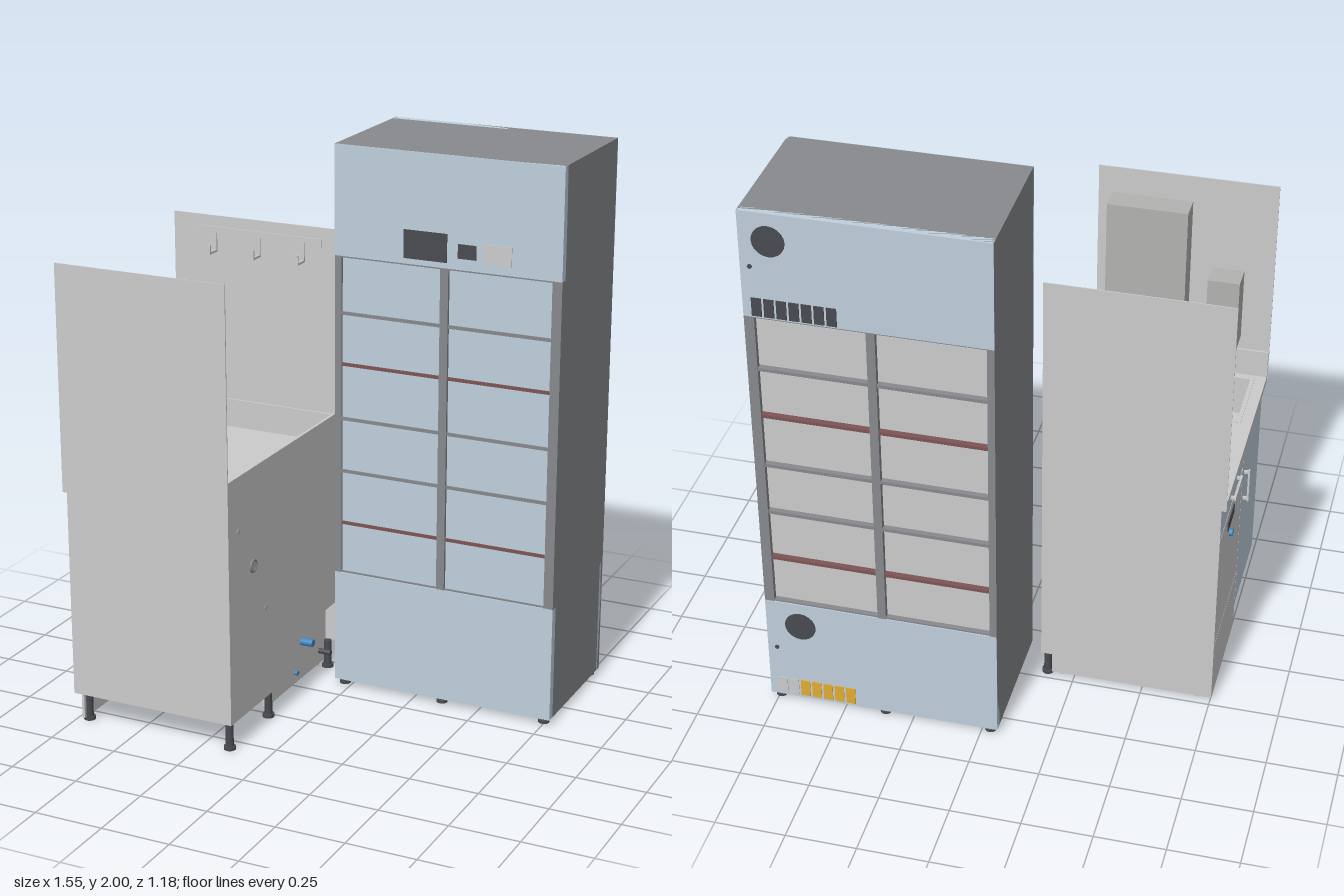
import * as THREE from 'three';

const mat = (color, extra = {}) => new THREE.MeshStandardMaterial({ color, ...extra });
const GREY = mat(0xcccccc), BLUE = mat(0xbfcfdc), STEEL = mat(0x87898d), DARK = mat(0x484b50);
const BOXGREY = mat(0xb2b2b0), YELLOW = mat(0xe0ad30), VALVE = mat(0x3f87c4), RED = mat(0x7d5555);

export function createModel() {
  const model = new THREE.Group();

  const add = (parent, name, geometry, material) => {
    const mesh = new THREE.Mesh(geometry, material);
    mesh.name = name;
    parent.add(mesh);
    return mesh;
  };
  // box given by its extents on each axis
  const box = (parent, name, x0, x1, y0, y1, z0, z1, material = GREY) => {
    const mesh = add(parent, name, new THREE.BoxGeometry(x1 - x0, y1 - y0, z1 - z0), material);
    mesh.position.set((x0 + x1) / 2, (y0 + y1) / 2, (z0 + z1) / 2);
    return mesh;
  };
  // cylinder centred on a point, lying along the chosen axis
  const rod = (parent, name, x, y, z, r, len, axis = 'y', material = GREY) => {
    const mesh = add(parent, name, new THREE.CylinderGeometry(r, r, len, 20), material);
    mesh.position.set(x, y, z);
    if (axis === 'x') mesh.rotation.z = Math.PI / 2;
    if (axis === 'z') mesh.rotation.x = Math.PI / 2;
    return mesh;
  };
  const group = (name) => {
    const g = new THREE.Group();
    g.name = name;
    model.add(g);
    return g;
  };
  const rectPath = (x0, x1, y0, y1, Type = THREE.Path) => new Type(
    [[x0, y0], [x1, y0], [x1, y1], [x0, y1]].map(([x, y]) => new THREE.Vector2(x, y)));

  // ---------- tall pass-through cabinet ----------
  const cab = group('passThroughCabinet');
  const X0 = -0.06, X1 = 0.775, ZB = -0.59, ZF = -0.085;
  const rows = [0.44, 0.63, 0.825, 1.02, 1.22, 1.405, 1.61];
  const cols = [[-0.035, 0.335], [0.365, 0.74]];

  box(cab, 'cabinetCore', X0 + 0.01, X1 - 0.01, 0.03, 1.99, ZB + 0.03, ZF - 0.02, STEEL);
  box(cab, 'cabinetSideRight', X0, X0 + 0.012, 0.02, 2, ZB + 0.002, ZF - 0.002, STEEL);
  box(cab, 'cabinetSideLeft', X1 - 0.012, X1, 0.02, 2, ZB + 0.002, ZF - 0.002, STEEL);
  box(cab, 'cabinetTop', X0 + 0.012, X1 - 0.012, 1.985, 2, ZB + 0.002, ZF - 0.002, STEEL);
  box(cab, 'cabinetBottom', X0 + 0.012, X1 - 0.012, 0.02, 0.035, ZB + 0.002, ZF - 0.002, DARK);

  // fascias, posts and compartments on the front and back
  for (const [side, z, s] of [['front', ZF, 1], ['back', ZB, -1]]) {
    const slab = (name, x0, x1, y0, y1, inset, depth, m) => {
      const a = z - s * inset, b = a - s * depth;
      return box(cab, side + name, x0, x1, y0, y1, Math.min(a, b), Math.max(a, b), m);
    };
    slab('UpperFascia', X0, X1, 1.61, 2, 0, 0.03, BLUE);
    slab('LowerFascia', X0, X1, 0.02, 0.44, 0, 0.03, BLUE);
    for (const [a, b] of [[X0, -0.035], [0.335, 0.365], [0.74, X1]])
      slab('Post', a, b, 0.44, 1.61, 0.001, 0.03, STEEL);
    for (const [a, b] of cols) {
      for (let i = 0; i < 6; i++) {
        const gap = s > 0 ? 0.003 : 0.014;
        slab('Door', a + 0.002, b - 0.002, rows[i] + gap, rows[i + 1] - gap, s > 0 ? 0.008 : 0.014, 0.02, s > 0 ? BLUE : GREY);
      }
      rows.forEach((y, i) => slab('Shelf', a, b, y - 0.006, y + 0.006, 0.004, 0.03, i === 1 || i === 4 ? RED : STEEL));
    }
  }

  // front display, reader and card panel
  box(cab, 'displayScreen', 0.2, 0.36, 1.63, 1.73, ZF, ZF + 0.003, DARK);
  box(cab, 'codeReader', 0.4, 0.467, 1.65, 1.7, ZF, ZF + 0.003, DARK);
  box(cab, 'cardPanel', 0.495, 0.595, 1.64, 1.71, ZF, ZF + 0.003, GREY);

  // back fans, bolts and connector rows
  for (const [x, yFan, yBolt, ySlot, upper] of [[0.675, 1.9, 1.8, 1.65, true], [0.65, 0.345, 0.235, 0.065, false]]) {
    rod(cab, 'fanGrille', x, yFan, ZB, 0.056, 0.006, 'z', DARK);
    rod(cab, 'bolt', 0.742, yBolt, ZB, 0.008, 0.006, 'z', DARK);
    for (let i = 0; i < 7; i++) {
      const sx = 0.728 - i * 0.042;
      const m = upper ? DARK : i < 2 ? GREY : YELLOW;
      box(cab, 'connectorSlot', sx - 0.017, sx + 0.017, ySlot - 0.034, ySlot + 0.034, ZB - 0.003, ZB, m);
    }
  }

  // feet and fittings underneath
  for (const x of [-0.03, 0.355, 0.745])
    for (const z of [-0.11, -0.565]) {
      rod(cab, 'cabinetFoot', x, 0.005, z, 0.02, 0.01, 'y', DARK);
      rod(cab, 'cabinetFootStem', x, 0.014, z, 0.009, 0.014, 'y', DARK);
    }
  rod(cab, 'drainFitting', 0.18, 0.014, -0.22, 0.02, 0.014, 'y', DARK);
  rod(cab, 'drainFitting', 0.3, 0.014, -0.4, 0.016, 0.014, 'y', GREY);

  // ---------- sink unit, its doors facing the model's right ----------
  const unit = group('sinkUnit');
  const K0 = -0.755, K1 = -0.13, KB = -0.235, KF = 0.585, T = 0.004;

  // end walls: wide above the counter, narrower below
  for (const [name, z0, low] of [['frontWall', KF - T, 0.1], ['backWall', KB, 0.1]]) {
    box(unit, name + 'Upper', -0.772, K1, 0.85, 1.66, z0, z0 + T);
    box(unit, name + 'Lower', K0, K1, low, 0.85, z0, z0 + T);
  }
  box(unit, 'frontSplash', -0.77, K1, 0.875, 0.98, KF - 0.012, KF - T);
  box(unit, 'backSplash', -0.77, K1, 0.875, 0.98, KB + T, KB + 0.012);

  // long side panel with a service cut-out in one lower corner
  const side = new THREE.Shape([[-KF, 0.1], [-0.105, 0.1], [-0.105, 0.25], [-KB, 0.25], [-KB, 0.98], [-KF, 0.98]]
    .map(([x, y]) => new THREE.Vector2(x, y)));
  const sideMesh = add(unit, 'sidePanel', new THREE.ExtrudeGeometry(side, { depth: 0.01, bevelEnabled: false }), GREY);
  sideMesh.rotation.y = Math.PI / 2;
  sideMesh.position.x = K1 - 0.01;
  box(unit, 'cabinetFloor', K0 + 0.01, K1, 0.1, 0.11, 0.22, KF);
  box(unit, 'partition', K0 + 0.01, K1 - 0.01, 0.11, 0.85, 0.205, 0.215);
  box(unit, 'plinth', -0.725, -0.715, 0.01, 0.1, 0.25, KF);

  // counter with a sink opening
  const counter = rectPath(-0.77, K1, -KF, -KB, THREE.Shape);
  counter.holes.push(rectPath(-0.715, -0.445, -0.54, -0.27));
  const top = add(unit, 'counter', new THREE.ExtrudeGeometry(counter, { depth: 0.025, bevelEnabled: false }), GREY);
  top.rotation.x = -Math.PI / 2;
  top.position.y = 0.85;
  const rimShape = rectPath(-0.73, -0.435, -0.555, -0.26, THREE.Shape);
  rimShape.holes.push(rectPath(-0.715, -0.445, -0.54, -0.27));
  const rim = add(unit, 'sinkRim', new THREE.ExtrudeGeometry(rimShape, { depth: 0.003, bevelEnabled: false }), GREY);
  rim.rotation.x = -Math.PI / 2;
  rim.position.y = 0.875;
  box(unit, 'basinFloor', -0.72, -0.44, 0.72, 0.725, 0.265, 0.545);
  for (const x of [-0.72, -0.445]) box(unit, 'basinWall', x, x + 0.005, 0.725, 0.86, 0.265, 0.545);
  for (const z of [0.265, 0.54]) box(unit, 'basinWall', -0.715, -0.445, 0.725, 0.86, z, z + 0.005);
  rod(unit, 'drain', -0.58, 0.727, 0.41, 0.025, 0.006, 'y', BOXGREY);

  // tap
  rod(unit, 'tapBody', -0.385, 0.93, 0.408, 0.018, 0.11);
  box(unit, 'tapSpout', -0.48, -0.385, 0.945, 0.96, 0.398, 0.418);
  box(unit, 'tapLever', -0.43, -0.38, 0.98, 0.987, 0.4, 0.416);

  // drawer, dishwasher and door
  box(unit, 'drawer', K0, K0 + 0.02, 0.725, 0.848, KB + T, 0.208, BLUE);
  box(unit, 'drawerBody', K0 + 0.02, -0.2, 0.74, 0.84, KB + T, 0.2);
  box(unit, 'dishwasherBody', K0 + 0.02, -0.17, 0.02, 0.72, KB + T, 0.208);
  box(unit, 'dishwasherDoor', K0, K0 + 0.02, 0.26, 0.718, KB, 0.208);
  box(unit, 'dishwasherLowerPanel', K0, K0 + 0.02, 0.02, 0.256, KB, 0.208);
  box(unit, 'dishwasherEnd', K0, -0.17, 0.02, 0.25, KB, KB + T);
  box(unit, 'dishwasherControl', K0 - 0.004, K0, 0.65, 0.685, -0.08, 0.04, DARK);
  rod(unit, 'dishwasherKnob', K0 - 0.006, 0.605, -0.02, 0.014, 0.012, 'x', VALVE);
  box(unit, 'door', K0, K0 + 0.02, 0.1, 0.848, 0.212, KF - T, BLUE);

  // bar handles
  box(unit, 'drawerHandle', -0.777, -0.77, 0.778, 0.79, -0.07, 0.07);
  for (const z of [-0.065, 0.055]) box(unit, 'drawerHandlePost', -0.772, K0, 0.779, 0.789, z, z + 0.01);
  box(unit, 'doorHandle', -0.777, -0.77, 0.55, 0.685, 0.245, 0.257);
  for (const y of [0.555, 0.67]) box(unit, 'doorHandlePost', -0.772, K0, y, y + 0.01, 0.246, 0.256);

  // legs
  for (const [x, z] of [[-0.15, 0.56], [-0.15, 0.27], [-0.71, 0.56], [-0.71, 0.27], [-0.15, -0.21]]) {
    rod(unit, 'leg', x, 0.055, z, 0.014, 0.1, 'y', DARK);
    rod(unit, 'legFoot', x, 0.006, z, 0.021, 0.012, 'y', DARK);
  }
  for (const x of [-0.2, -0.7])
    for (const z of [-0.2, 0.19]) rod(unit, 'dishwasherFoot', x, 0.011, z, 0.017, 0.022);

  // service fittings on the long side
  const ring = add(unit, 'serviceRing', new THREE.TorusGeometry(0.02, 0.005, 8, 24), STEEL);
  ring.rotation.y = Math.PI / 2;
  ring.position.set(K1 + 0.002, 0.628, 0.412);
  rod(unit, 'servicePort', K1, 0.628, 0.412, 0.019, 0.008, 'x', BOXGREY);
  rod(unit, 'screwCap', K1, 0.785, 0.515, 0.009, 0.004, 'x', BOXGREY);
  rod(unit, 'screwCap', K1, 0.44, 0.32, 0.009, 0.004, 'x', BOXGREY);
  rod(unit, 'waterValve', -0.147, 0.165, -0.035, 0.014, 0.048, 'x', VALVE);
  rod(unit, 'waterValve', -0.147, 0.097, 0.088, 0.009, 0.048, 'x', VALVE);
  rod(unit, 'wastePipe', -0.147, 0.07, -0.18, 0.01, 0.048, 'x', DARK);

  // dispensers on the front wall
  box(unit, 'towelDispenser', -0.47, -0.18, 1.13, 1.56, 0.49, KF - T, BOXGREY);
  box(unit, 'soapDispenser', -0.665, -0.55, 1.03, 1.305, 0.487, KF - T, BOXGREY);
  rod(unit, 'soapNozzle', -0.607, 1.025, 0.527, 0.018, 0.014, 'y', DARK);

  // hook rail on the back wall
  box(unit, 'hookRail', -0.67, -0.18, 1.59, 1.62, KB + T, KB + 0.01);
  for (const x of [-0.6, -0.425, -0.25]) {
    box(unit, 'hookPlate', x - 0.005, x + 0.005, 1.53, 1.6, KB + 0.01, KB + 0.016);
    box(unit, 'hookArm', x - 0.005, x + 0.005, 1.53, 1.538, KB + 0.01, -0.17);
    box(unit, 'hookTip', x - 0.005, x + 0.005, 1.53, 1.565, -0.176, -0.17);
  }
  return model;
}
